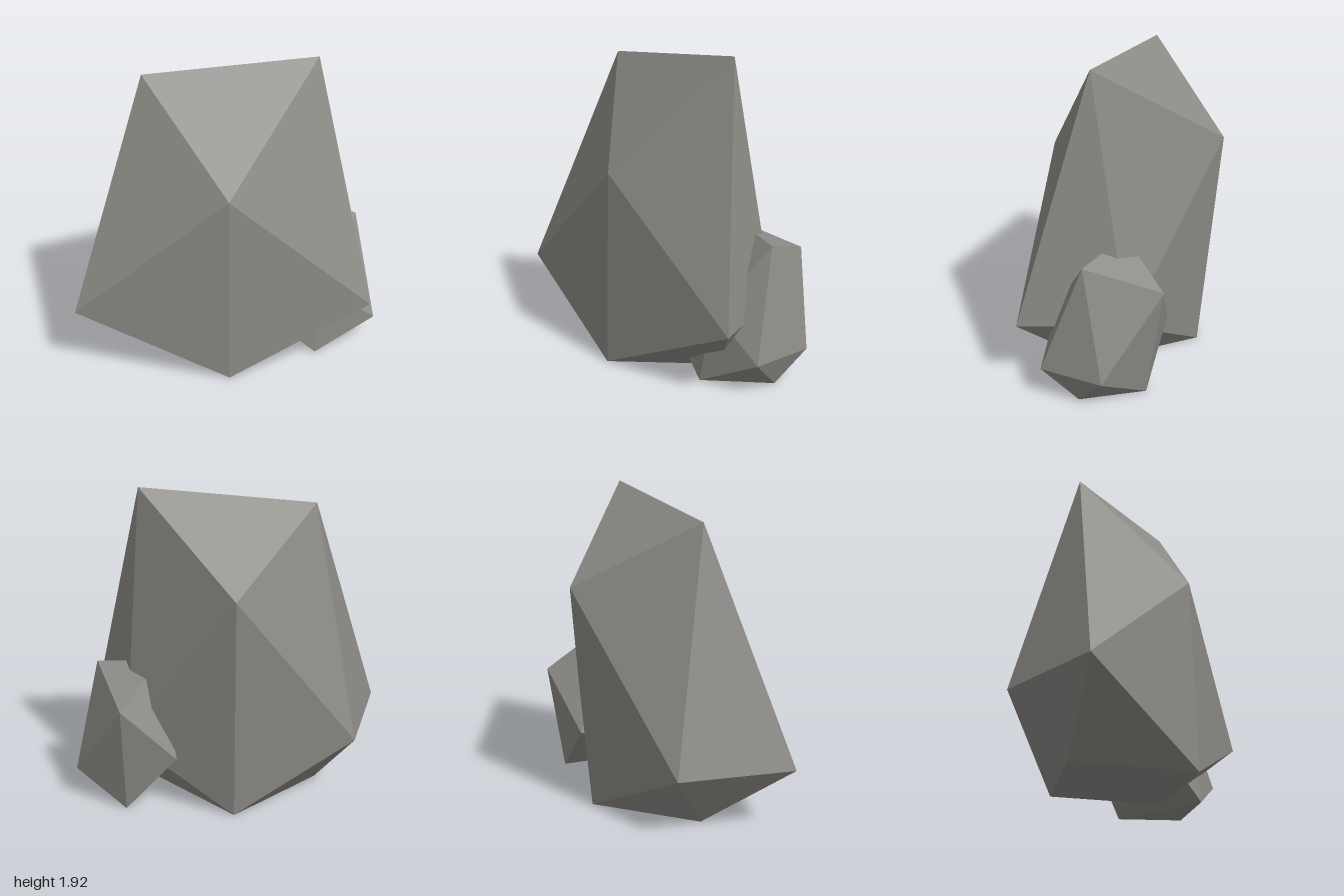
import * as THREE from 'three';
import { ConvexGeometry } from 'three/addons/geometries/ConvexGeometry.js';

// Faceted boulder: the convex shell around a few corner points
function makeRock(name, corners, material) {
  const points = corners.map(([x, y, z]) => new THREE.Vector3(x, y, z));
  const mesh = new THREE.Mesh(new ConvexGeometry(points), material);
  mesh.name = name;
  return mesh;
}

export function createModel() {
  const stone = new THREE.MeshStandardMaterial({ color: 0x8c8a85, flatShading: true });
  stone.name = 'stone grey';

  const group = new THREE.Group();
  group.name = 'rocks';

  group.add(makeRock('largeRock', [
    // crown
    [0.52, 1.92, 0.17], [-0.44, 1.82, -0.26], [0.26, 1.41, -0.61], [-0.18, 1.21, 0.39],
    // widest ring
    [-1, 0.41, -0.1], [0.69, 0.41, 0.62], [0.72, 0.41, -0.03], [-0.54, 0.4, -0.63],
    // foot
    [-0.19, 0, 0.42], [0.22, 0, -0.5], [-0.46, 0, -0.29], [0.46, 0, 0.16],
  ], stone));

  group.add(makeRock('smallRock', [
    // crown
    [0.8, 0.85, 0.23], [0.83, 0.7, -0.23], [0.48, 0.89, -0.02],
    // widest ring
    [0.82, 0.2, 0.48], [1, 0.2, 0.13], [0.5, 0.34, -0.28], [0.5, 0.45, 0.38], [0.15, 0.25, 0.2],
    // foot
    [0.78, 0, -0.14], [0.85, 0, 0.26], [0.43, 0, 0.41],
  ], stone));

  return group;
}
